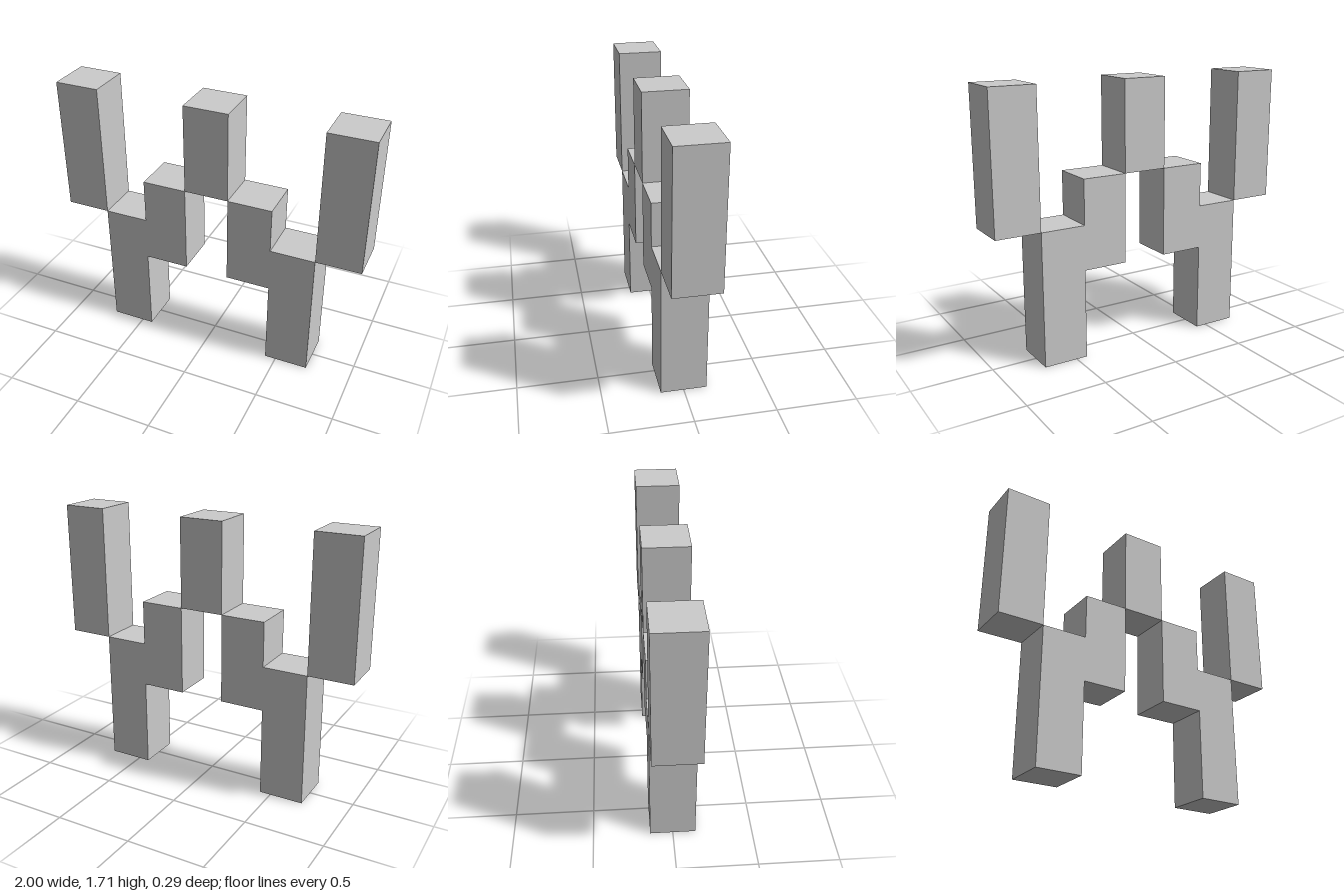
import * as THREE from 'three';

const U = 2 / 7; // one grid cell: the letter-like outline is 7 cells wide, 6 high, 1 deep

export function createModel() {
  const group = new THREE.Group();
  const material = new THREE.MeshStandardMaterial({ color: 0xcccccc, flatShading: true });

  const add = (name, geometry) => {
    const mesh = new THREE.Mesh(geometry, material);
    mesh.name = name;
    group.add(mesh);
    return mesh;
  };

  // One-cell-wide square post centred on column x, from row y0 to row y1
  const post = (name, x, y0, y1) => {
    const mesh = add(name, new THREE.BoxGeometry(U, (y1 - y0) * U, U));
    mesh.position.set(x * U, ((y0 + y1) / 2) * U, 0);
  };

  // Upper middle post
  post('centrePost', 0, 4, 6);

  for (const [side, s] of [['left', 1], ['right', -1]]) {
    // Raised outer post, touching the leg along one edge
    post(`${side}OuterPost`, s * 3, 3, 6);

    // Stepped leg: lower column joined to the inner, higher block
    const outline = [[2.5, 0], [2.5, 3], [1.5, 3], [1.5, 4], [0.5, 4], [0.5, 2], [1.5, 2], [1.5, 0]];
    const shape = new THREE.Shape(outline.map(([x, y]) => new THREE.Vector2(s * x * U, y * U)));
    const geometry = new THREE.ExtrudeGeometry(shape, { depth: U, bevelEnabled: false });
    geometry.translate(0, 0, -U / 2);
    add(`${side}SteppedLeg`, geometry);
  }

  return group;
}
